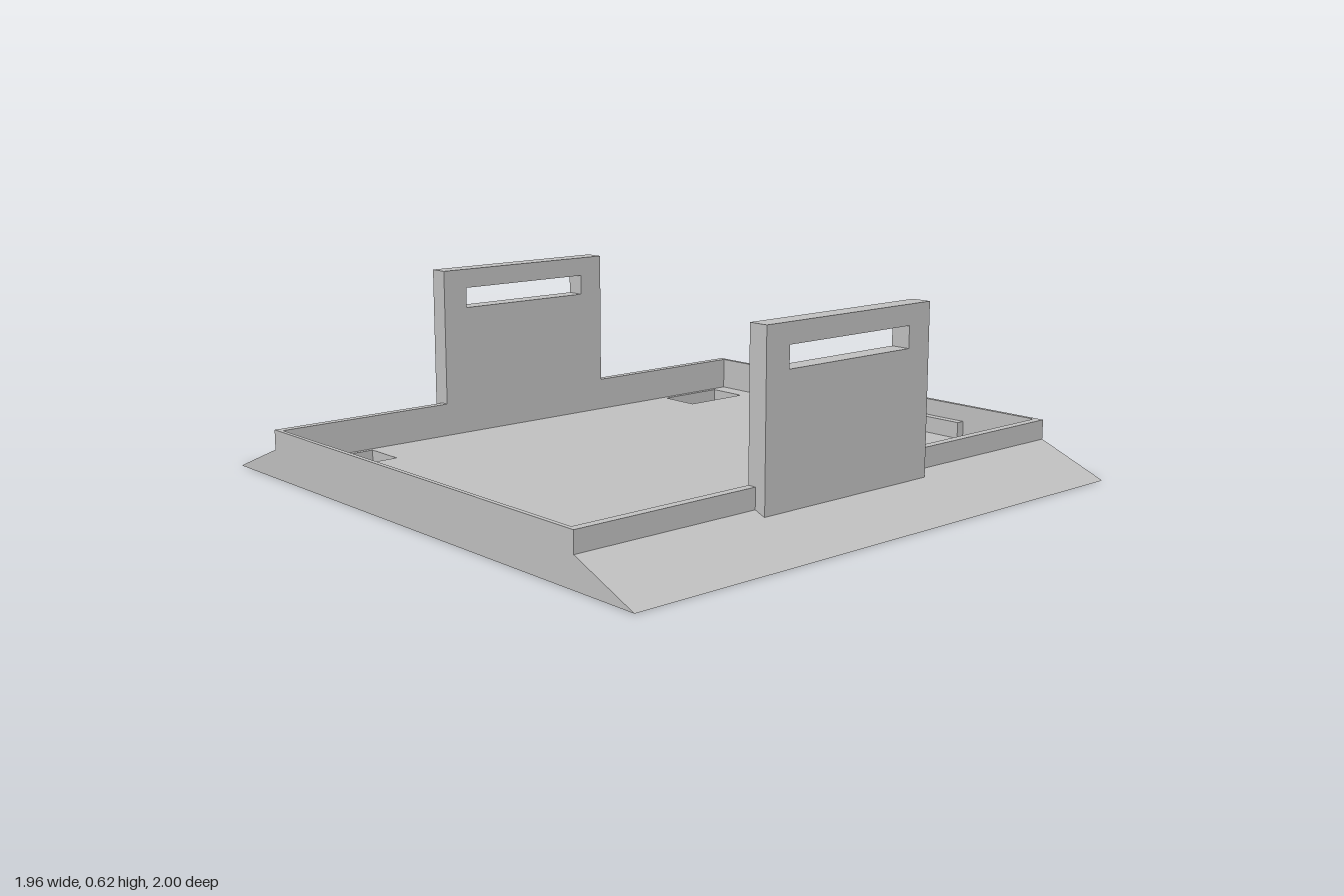
import * as THREE from 'three';

const grey = new THREE.MeshStandardMaterial({ color: 0xbfbfbf });
grey.name = 'plain grey';

const HALF_X = 0.98, INNER_X = 0.965, INNER_Z = 0.737;
const FLOOR = 0.05, RIM = 0.16;

function polygon(points, Type = THREE.Shape) {
  return new Type(points.map(([x, y]) => new THREE.Vector2(x, y)));
}

function rect(x0, y0, x1, y1, Type) {
  return polygon([[x0, y0], [x1, y0], [x1, y1], [x0, y1]], Type);
}

function extrude(shape, depth) {
  return new THREE.ExtrudeGeometry(shape, { depth, bevelEnabled: false });
}

function box(x0, x1, y0, y1, z0, z1) {
  return new THREE.BoxGeometry(x1 - x0, y1 - y0, z1 - z0)
    .translate((x0 + x1) / 2, (y0 + y1) / 2, (z0 + z1) / 2);
}

export function createModel() {
  const model = new THREE.Group();
  model.name = 'tray';
  const add = (name, geometry, parent = model) => {
    const mesh = new THREE.Mesh(geometry, grey);
    mesh.name = name;
    parent.add(mesh);
  };

  // Floor with a rectangular hole near each corner
  const floor = rect(-INNER_X, -INNER_Z, INNER_X, INNER_Z);
  for (const sx of [-1, 1]) {
    for (const sz of [-1, 1]) {
      const x = sx * 0.775, z = sz * 0.648;
      floor.holes.push(rect(x - 0.125, z - 0.073, x + 0.125, z + 0.073, THREE.Path));
    }
  }
  add('floor', extrude(floor, FLOOR).rotateX(-Math.PI / 2));

  // Side walls, each with two low ribs on the inside
  for (const [side, s] of [['left', 1], ['right', -1]]) {
    const wallX = [s * INNER_X, s * HALF_X].sort((a, b) => a - b);
    add(side + 'Wall', box(...wallX, 0, RIM, -INNER_Z, INNER_Z));
    const ribX = [s * 0.935, s * INNER_X].sort((a, b) => a - b);
    add(side + 'FrontRib', box(...ribX, FLOOR, 0.105, 0.135, 0.45));
    add(side + 'BackRib', box(...ribX, FLOOR, 0.105, -0.455, -0.14));
  }

  // Front and back ends: sloped ramp with rim, and a slotted upright handle
  for (const [name, turn] of [['front', 0], ['back', Math.PI]]) {
    const end = new THREE.Group();
    end.name = name + 'End';
    end.rotation.y = turn;

    const profile = polygon([
      [INNER_Z, 0], [1, 0], [0.765, 0.095], [0.765, RIM], [INNER_Z, RIM],
    ]);
    add(name + 'Ramp', extrude(profile, HALF_X * 2)
      .translate(0, 0, -HALF_X).rotateY(-Math.PI / 2), end);

    const plate = rect(-0.34, 0.081, 0.34, 0.617);
    plate.holes.push(rect(-0.25, 0.485, 0.25, 0.553, THREE.Path));
    add(name + 'Handle', extrude(plate, 0.065).translate(0, 0, INNER_Z), end);
    model.add(end);
  }

  return model;
}
